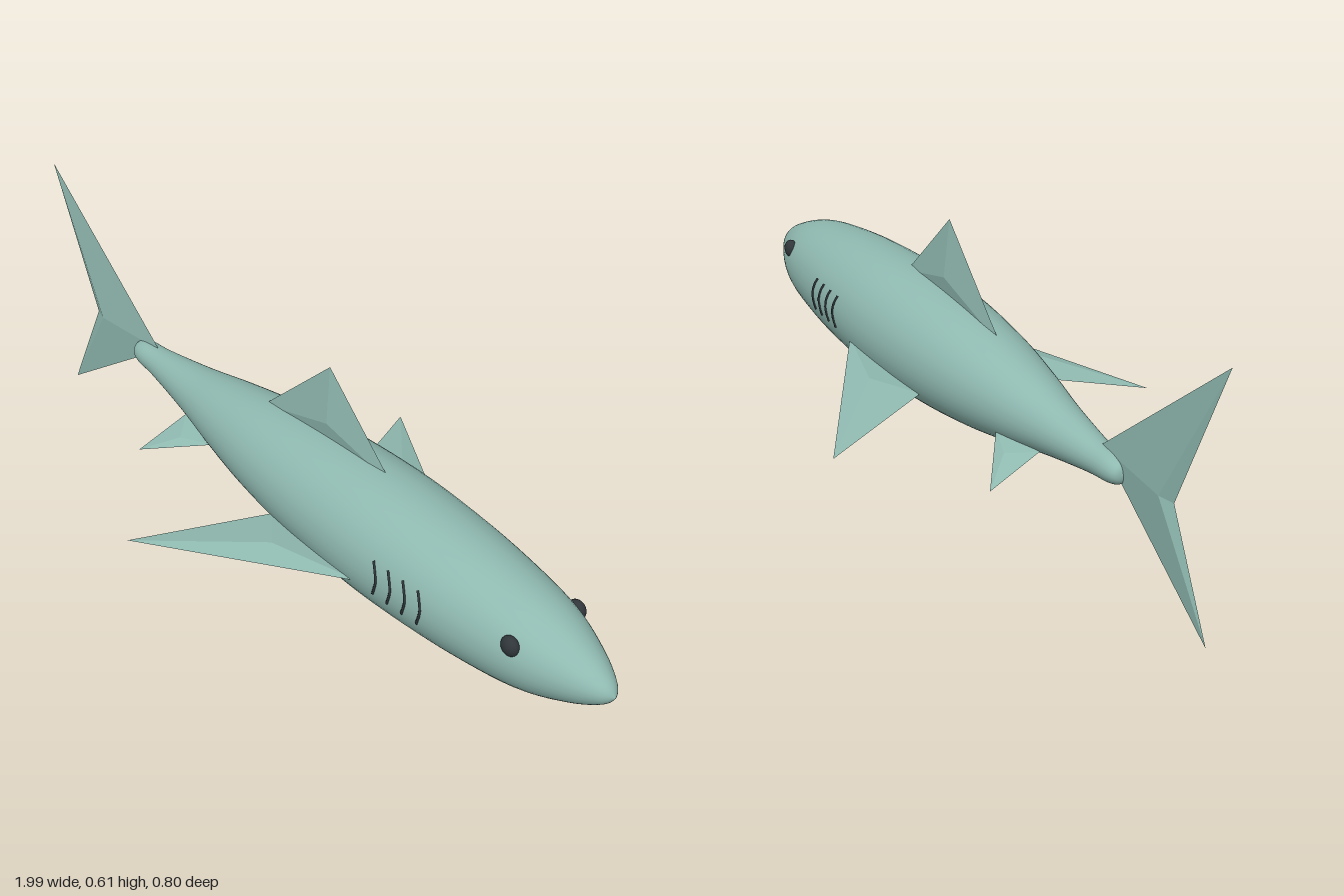
import * as THREE from 'three';

const AXIS_Y = 0.24;
const V = (x, y, z) => new THREE.Vector3(x, y, z);

// Body profile as (radius, x along the body), tail to nose
const profile = new THREE.SplineCurve([
  [0, -0.655], [0.02, -0.648], [0.031, -0.62], [0.038, -0.55], [0.062, -0.4], [0.09, -0.26],
  [0.117, -0.1], [0.136, 0.08], [0.1455, 0.28], [0.142, 0.45], [0.129, 0.62], [0.105, 0.785],
  [0.066, 0.9], [0.028, 0.97], [0, 0.993],
].map(([r, x]) => new THREE.Vector2(r, x))).getPoints(70);
profile.forEach((p) => { p.x = Math.max(0, p.x); });

function radiusAt(x) {
  const i = profile.findIndex((p) => p.y > x);
  const a = profile[i - 1], b = profile[i];
  return THREE.MathUtils.lerp(a.x, b.x, (x - a.y) / (b.y - a.y));
}

// Faceted fin: sharp outline, with a raised centre on each side
function finGeometry(outline, centre, bulge) {
  const sum = V(0, 0, 0);
  outline.forEach((p, i) => {
    const q = outline[(i + 1) % outline.length];
    sum.add(p.clone().sub(centre).cross(q.clone().sub(centre)));
  });
  const pts = sum.dot(bulge) < 0 ? [...outline].reverse() : outline;
  const up = centre.clone().add(bulge), down = centre.clone().sub(bulge);
  const tris = [];
  pts.forEach((p, i) => {
    const q = pts[(i + 1) % pts.length];
    tris.push(p, q, up, q, p, down);
  });
  const g = new THREE.BufferGeometry().setFromPoints(tris);
  g.computeVertexNormals();
  return g;
}

export function createModel() {
  const model = new THREE.Group();
  const skin = new THREE.MeshStandardMaterial({ name: 'sea green skin', color: 0x8fb9b0 });
  const dark = new THREE.MeshStandardMaterial({ name: 'dark grey', color: 0x30363a });
  const add = (name, geometry, material) => {
    const mesh = new THREE.Mesh(geometry, material);
    mesh.name = name;
    model.add(mesh);
    return mesh;
  };

  // Round, smooth body
  const body = new THREE.LatheGeometry(profile, 48);
  body.rotateZ(-Math.PI / 2);
  body.translate(0, AXIS_Y, 0);
  add('body', body, skin);

  // Upright fins on the centre line
  add('dorsalFin', finGeometry(
    [V(0.31, 0.365, 0), V(0.095, 0.557, 0), V(-0.145, 0.335, 0)],
    V(0.1, 0.418, 0), V(0, 0, 0.013)), skin);
  add('tailFin', finGeometry(
    [V(-0.565, 0.272, 0), V(-1, 0.605, 0), V(-0.833, 0.257, 0), V(-0.96, 0, 0)],
    V(-0.795, 0.26, 0), V(0, 0, 0.012)), skin);

  for (const s of [1, -1]) {
    const side = s > 0 ? 'right' : 'left';

    // Paired fins sweeping out and back
    add(side + 'PectoralFin', finGeometry(
      [V(0.36, 0.2, s * 0.13), V(-0.125, 0.145, s * 0.4), V(0.03, 0.178, s * 0.11)],
      V(0.13, 0.18, s * 0.19), V(0, 0.014, 0)), skin);
    add(side + 'PelvicFin', finGeometry(
      [V(-0.25, 0.195, s * 0.07), V(-0.41, 0.138, s * 0.173), V(-0.395, 0.195, s * 0.045)],
      V(-0.34, 0.175, s * 0.095), V(0, 0.006, s * 0.006)), skin);

    // Eyes, flattened against the head
    const eye = add(side + 'Eye', new THREE.SphereGeometry(0.023, 20, 14), dark);
    eye.scale.z = 0.7;
    eye.position.set(0.785, 0.284, s * 0.092);

    // Four bent gill slits following the flank
    for (let i = 0; i < 4; i++) {
      const x0 = 0.417 + i * 0.044;
      const pts = [[-0.005, 0.05], [0.006, 0.03], [0.012, 0.008], [0.008, -0.012], [0, -0.032]]
        .map(([dx, dy]) => {
          const r = radiusAt(x0 + dx);
          return V(x0 + dx, AXIS_Y + dy, s * Math.sqrt(r * r - dy * dy));
        });
      add(side + 'GillSlit' + (i + 1),
        new THREE.TubeGeometry(new THREE.CatmullRomCurve3(pts), 12, 0.0035, 5), dark);
    }
  }
  return model;
}
